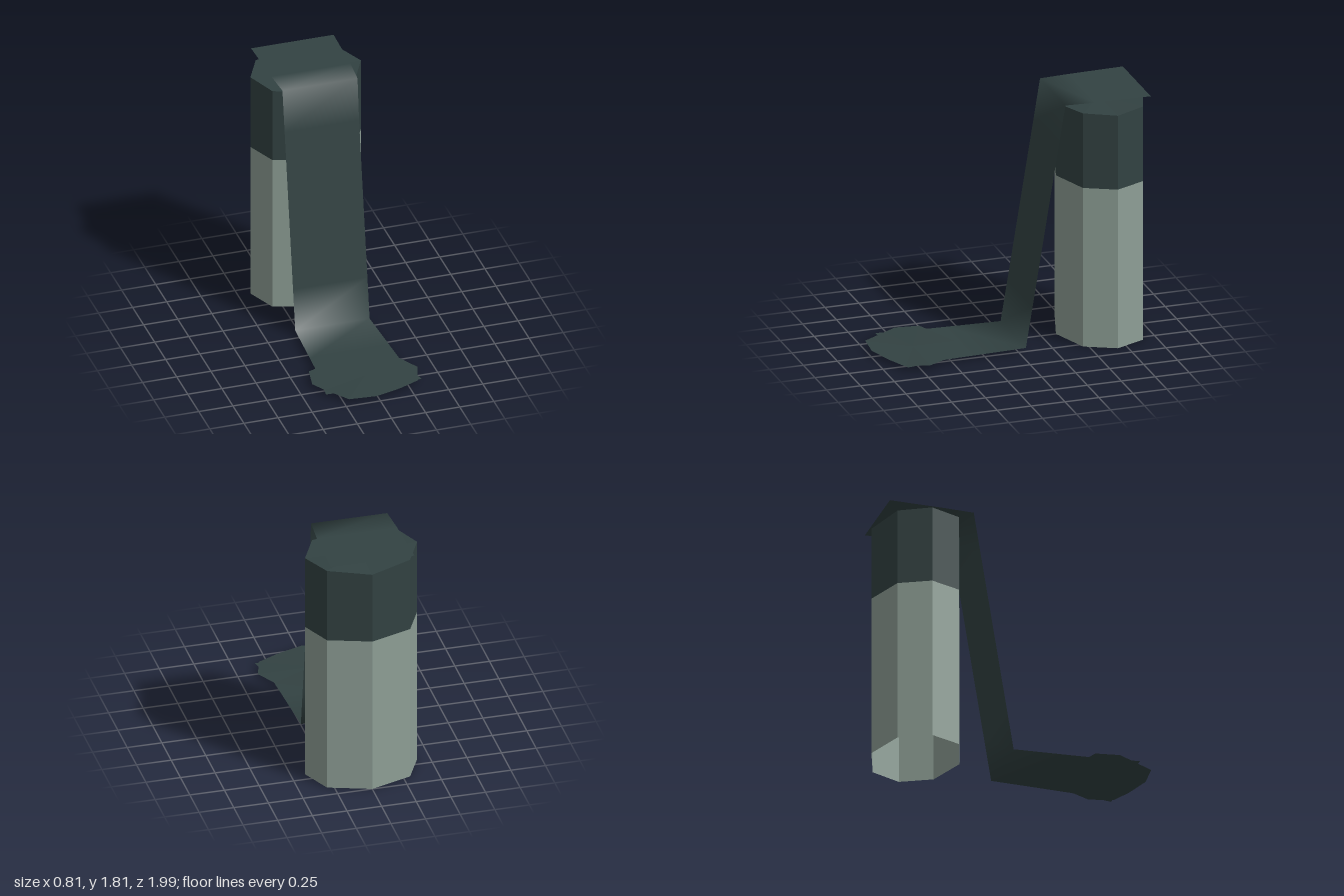
import * as THREE from 'three';

const dark = new THREE.MeshStandardMaterial({ color: 0x324242, side: THREE.DoubleSide });
dark.name = 'dark slime';
const pale = new THREE.MeshStandardMaterial({ color: 0x8e9f96, side: THREE.DoubleSide });
pale.name = 'pale grey green';

// Uneven eight-sided outline of the column as [x, z, top height]
const outline = [
  [0, -1, 1.725], [0.3, -0.9, 1.745], [0.4, -0.68, 1.74], [0.29, -0.46, 1.745],
  [0, -0.36, 1.73], [-0.32, -0.46, 1.745], [-0.41, -0.68, 1.75], [-0.3, -0.9, 1.745],
];

// Pool outline as [x, z, height]
const poolOutline = [
  [0, 0.38, 0.04], [0.29, 0.54, 0.035], [0.37, 0.69, 0.035], [0.32, 0.86, 0.03],
  [0.17, 0.93, 0.033], [-0.02, 0.99, 0.037], [-0.22, 0.97, 0.036],
  [-0.34, 0.79, 0.032], [-0.4, 0.69, 0.033], [-0.37, 0.52, 0.036],
];

function makeMesh(name, points, material, index) {
  const geometry = new THREE.BufferGeometry();
  geometry.setAttribute('position', new THREE.Float32BufferAttribute(points.flat(), 3));
  if (index) geometry.setIndex(index);
  geometry.computeVertexNormals();
  const mesh = new THREE.Mesh(geometry, material);
  mesh.name = name;
  return mesh;
}

// Flat-sided open wall between two rings
function wall(name, low, high, material) {
  const points = [];
  low.forEach((a, i) => {
    const j = (i + 1) % low.length;
    points.push(a, high[i], high[j], a, high[j], low[j]);
  });
  return makeMesh(name, points, material);
}

// Upward-facing fan filling a ring
function lid(name, ring, centre, material) {
  const points = [];
  ring.forEach((a, i) => points.push(centre, ring[(i + 1) % ring.length], a));
  return makeMesh(name, points, material);
}

// Smooth sheet through rows of [z, y, left edge x, right edge x]
function sheet(name, rows, material) {
  const points = [], index = [];
  rows.forEach(([z, y, x0, x1], i) => {
    points.push([x0, y, z], [x1, y, z]);
    if (i < rows.length - 1) {
      const k = i * 2;
      index.push(k, k + 2, k + 1, k + 1, k + 2, k + 3);
    }
  });
  return makeMesh(name, points, material, index);
}

export function createModel() {
  const model = new THREE.Group();
  model.name = 'overflowingColumn';

  // Column, open underneath
  const base = outline.map(([x, z]) => [x, 0, z]);
  const band = outline.map(([x, z]) => [x, 1.187, z]);
  const rim = outline.map(([x, z, y]) => [x, y, z]);
  model.add(
    wall('columnBody', base, band, pale),
    wall('columnCollar', band, rim, dark),
    lid('columnTop', rim, [0, 1.74, -0.68], dark),
  );

  // Ribbon spilling from the top to the ground
  model.add(sheet('ribbon', [
    [-0.96, 1.81, -0.315, 0.29],
    [-0.55, 1.81, -0.3, 0.28],
    [-0.34, 1.81, -0.285, 0.265],
    [-0.29, 1.5, -0.285, 0.26],
    [-0.1, 0.335, -0.285, 0.26],
    [-0.05, 0.03, -0.285, 0.26],
    [0.35, 0.03, -0.305, 0.28],
    [0.54, 0.03, -0.315, 0.29],
    [0.85, 0.03, -0.35, 0.35],
  ], dark));

  // Pool at the foot of the ribbon
  const pool = poolOutline.map(([x, z, y]) => [x, y, z]);
  model.add(lid('pool', pool, [-0.01, 0.037, 0.69], dark));
  return model;
}
